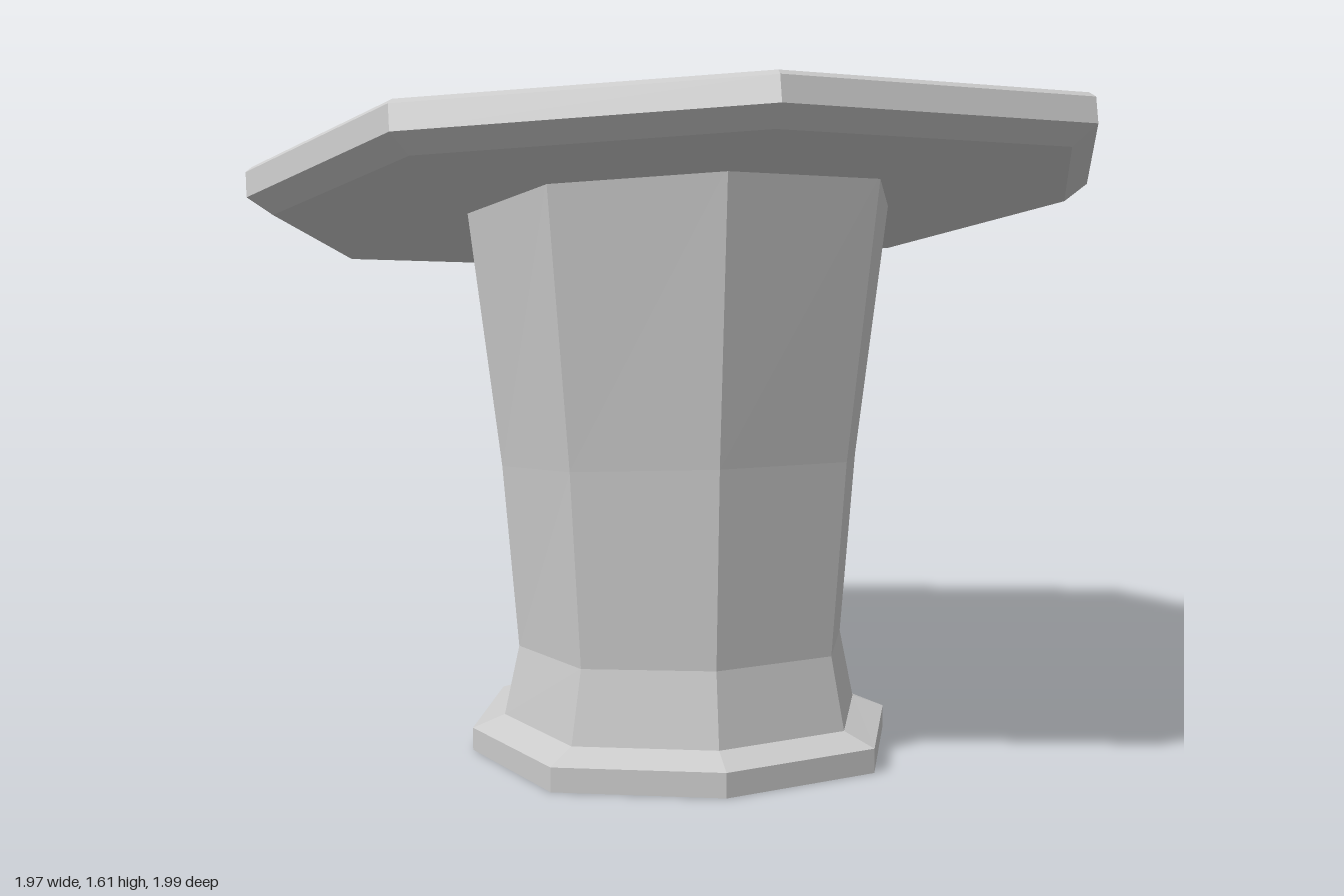
import * as THREE from 'three';

const SIDES = 8;
const DIAGONAL = 1.06; // diagonal corners sit slightly further out

// Lofts octagonal rings [radius, height, z offset, forward slope], bottom to top, and closes both ends.
// Radius 0 gives an end point.
function loft(name, rings) {
  const pos = [], index = [];
  for (const [r, y, z0, slope] of rings) {
    for (let i = 0; i < SIDES; i++) {
      const a = (i / SIDES) * Math.PI * 2;
      const k = r * (i % 2 ? DIAGONAL : 1);
      const z = Math.cos(a) * k;
      pos.push(Math.sin(a) * k, y + slope * z, z0 + z);
    }
  }
  for (let j = 0; j < rings.length - 1; j++) {
    for (let i = 0; i < SIDES; i++) {
      const a = j * SIDES + i, b = j * SIDES + (i + 1) % SIDES;
      const c = a + SIDES, d = b + SIDES;
      if (rings[j][0] > 0) index.push(a, b, d);
      if (rings[j + 1][0] > 0) index.push(a, d, c);
      else if (rings[j][0] > 0) index.push();
    }
  }
  const indexed = new THREE.BufferGeometry();
  indexed.setAttribute('position', new THREE.Float32BufferAttribute(pos, 3));
  indexed.setIndex(index);
  const geometry = indexed.toNonIndexed();
  geometry.computeVertexNormals();
  const mesh = new THREE.Mesh(geometry,
    new THREE.MeshStandardMaterial({ color: 0xcccccc, flatShading: true }));
  mesh.name = name;
  return mesh;
}

export function createModel() {
  const group = new THREE.Group();
  group.name = 'tiltedPedestal';

  // Plinth: low slab with a bevelled top
  group.add(loft('plinth', [
    [0, 0, 0.02, 0],
    [0.495, 0, 0.02, 0],
    [0.495, 0.053, 0.02, 0.01],
    [0.42, 0.082, 0.02, 0.012],
    [0, 0.082, 0.02, 0.012],
  ]));

  // Column: pinched above the plinth, flaring up to the slanted top
  group.add(loft('column', [
    [0, 0.08, 0.02, 0.012],
    [0.42, 0.08, 0.02, 0.012],
    [0.385, 0.245, 0.025, 0.04],
    [0.42, 0.67, 0.02, 0.12],
    [0.495, 1.265, 0.02, 0.25],
    [0, 1.265, 0.02, 0.25],
  ]));

  // Tilted top: thin octagonal plate with chamfered underside and slight dome
  group.add(loft('tiltedTop', [
    [0, 1.245, 0.015, 0.25],
    [0.93, 1.257, 0.01, 0.25],
    [0.987, 1.297, 0.005, 0.25],
    [0.987, 1.352, -0.012, 0.25],
    [0.973, 1.363, -0.015, 0.25],
    [0.5, 1.384, -0.015, 0.245],
    [0, 1.393, -0.02, 0.24],
  ]));

  // Knob: small bevelled octagon in the middle of the top
  group.add(loft('knob', [
    [0, 1.36, -0.02, 0.22],
    [0.23, 1.36, -0.02, 0.22],
    [0.233, 1.435, -0.035, 0.19],
    [0.185, 1.495, -0.045, 0.22],
    [0, 1.505, -0.045, 0.22],
  ]));

  return group;
}
